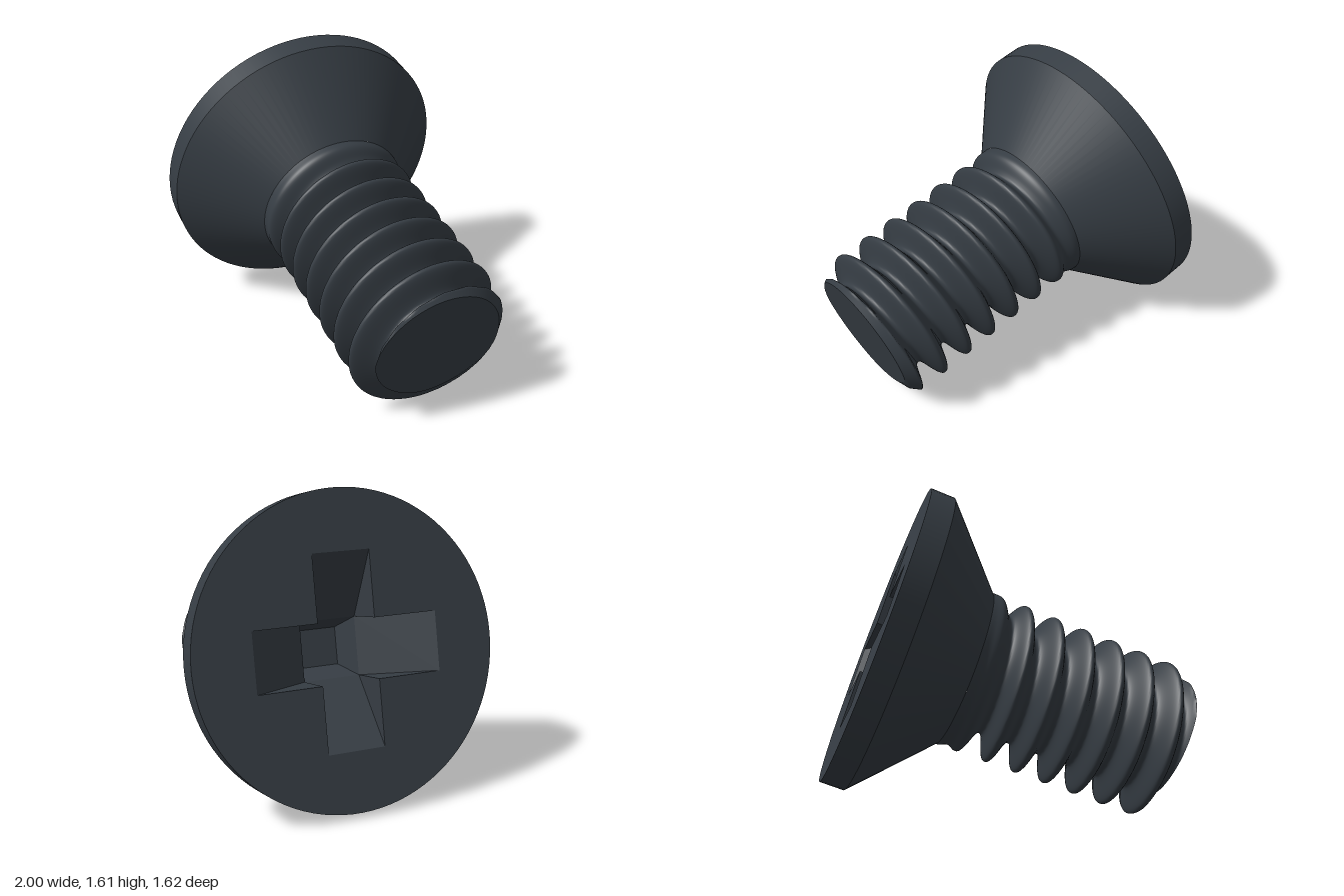
import * as THREE from 'three';

const HEAD_R = 0.815, RIM = 0.13, NECK = 0.5, END = 1.71; // stations along the screw axis
const CREST = 0.43, ROOT = 0.295, PITCH = 0.171, FIRST = 0.688, TIP_R = 0.355;

// Radius of the threaded shank at station t and angle a
function shankRadius(t, a) {
  const phase = (t - FIRST) / PITCH + a / (2 * Math.PI);
  const f = Math.abs(phase - Math.round(phase)); // 0 on the crest, 0.5 in the groove
  const groove = THREE.MathUtils.smoothstep(f, 0.02, 0.47);
  const runout = THREE.MathUtils.smoothstep(t, NECK, 0.72);
  return Math.min(CREST - (CREST - ROOT) * groove * runout, TIP_R + (END - t));
}

// Helical thread as a closed grid around the axis
function threadGeometry(rows = 170, cols = 120) {
  const pos = [], idx = [];
  for (let i = 0; i <= rows; i++) {
    const t = NECK + (END - NECK) * i / rows;
    for (let j = 0; j < cols; j++) {
      const a = j / cols * Math.PI * 2, r = shankRadius(t, a);
      pos.push(r * Math.cos(a), t, r * Math.sin(a));
      if (i === rows) continue;
      const k = (j + 1) % cols, p = i * cols, q = p + cols;
      idx.push(p + j, q + j, p + k, q + j, q + k, p + k);
    }
  }
  const g = new THREE.BufferGeometry();
  g.setAttribute('position', new THREE.Float32BufferAttribute(pos, 3));
  g.setIndex(idx);
  g.computeVertexNormals();
  return g;
}

// Flat end that follows the outline of the last thread
function tipGeometry(cols = 120) {
  const pos = [];
  const rim = (j) => {
    const a = j / cols * Math.PI * 2, r = shankRadius(END, a);
    return [r * Math.cos(a), END, r * Math.sin(a)];
  };
  for (let j = 0; j < cols; j++) pos.push(0, END, 0, ...rim(j + 1), ...rim(j));
  const g = new THREE.BufferGeometry();
  g.setAttribute('position', new THREE.Float32BufferAttribute(pos, 3));
  g.computeVertexNormals();
  return g;
}

const ARM = 0.5, HALF = 0.155, FLOOR = 0.24, PIT = 0.38, PIT_HALF = 0.1;

// Head face with a cross-shaped opening
function faceGeometry() {
  const s = new THREE.Shape().absarc(0, 0, HEAD_R, 0, Math.PI * 2);
  const hole = [];
  for (let k = 0; k < 4; k++) {
    for (const [x, y] of [[HALF, -HALF], [ARM, -HALF], [ARM, HALF]]) {
      hole.push(new THREE.Vector2(x, y).rotateAround(new THREE.Vector2(), k * Math.PI / 2));
    }
  }
  s.holes.push(new THREE.Path(hole));
  return new THREE.ShapeGeometry(s, 48).rotateX(Math.PI / 2);
}

// Cross recess: four arms with sloping floors around a tapered pit
function recessGeometry() {
  const pos = [];
  const put = (k, ...pts) => {
    for (let i = 1; i < pts.length - 1; i++) {
      for (const p of [pts[0], pts[i], pts[i + 1]]) {
        const v = new THREE.Vector3(...p).applyAxisAngle(new THREE.Vector3(0, 1, 0), k * Math.PI / 2);
        pos.push(v.x, v.y, v.z);
      }
    }
  };
  const h = HALF, b = PIT_HALF;
  for (let k = 0; k < 4; k++) {
    put(k, [ARM, 0, -h], [ARM, 0, h], [h, FLOOR, h], [h, FLOOR, -h]);
    put(k, [ARM, 0, h], [h, 0, h], [h, FLOOR, h]);
    put(k, [ARM, 0, -h], [h, FLOOR, -h], [h, 0, -h]);
    put(k, [h, FLOOR, -h], [h, FLOOR, h], [b, PIT, b], [b, PIT, -b]);
    put(k, [b, PIT, -b], [b, PIT, b], [0, PIT, 0]);
  }
  const g = new THREE.BufferGeometry();
  g.setAttribute('position', new THREE.Float32BufferAttribute(pos, 3));
  g.computeVertexNormals();
  return g;
}

export function createModel() {
  const steel = new THREE.MeshStandardMaterial({ color: 0x363d44 });
  steel.name = 'dark steel';
  const screw = new THREE.Group();
  screw.name = 'countersunkScrew';
  const add = (name, geometry, y = 0) => {
    const m = new THREE.Mesh(geometry, steel);
    m.name = name;
    m.position.y = y;
    screw.add(m);
  };

  add('headFace', faceGeometry());
  add('crossRecess', recessGeometry());
  add('headRim', new THREE.CylinderGeometry(HEAD_R, HEAD_R, RIM, 96, 1, true), RIM / 2);
  add('headCone', new THREE.CylinderGeometry(CREST, HEAD_R, NECK - RIM, 96, 1, true), (NECK + RIM) / 2);
  add('threadedShank', threadGeometry());
  add('shankTip', tipGeometry());

  // Lay the screw along its tilted axis, head towards -x
  const axis = new THREE.Vector3(1, -0.26, 0.218).normalize();
  const up = new THREE.Vector3(0, 1, 0).addScaledVector(axis, -axis.y).normalize();
  const side = new THREE.Vector3().crossVectors(up, axis);
  screw.quaternion.setFromRotationMatrix(new THREE.Matrix4().makeBasis(up, axis, side));
  screw.position.set(-0.735, 0.822, -0.015);

  const model = new THREE.Group();
  model.name = 'screwModel';
  model.add(screw);
  return model;
}
